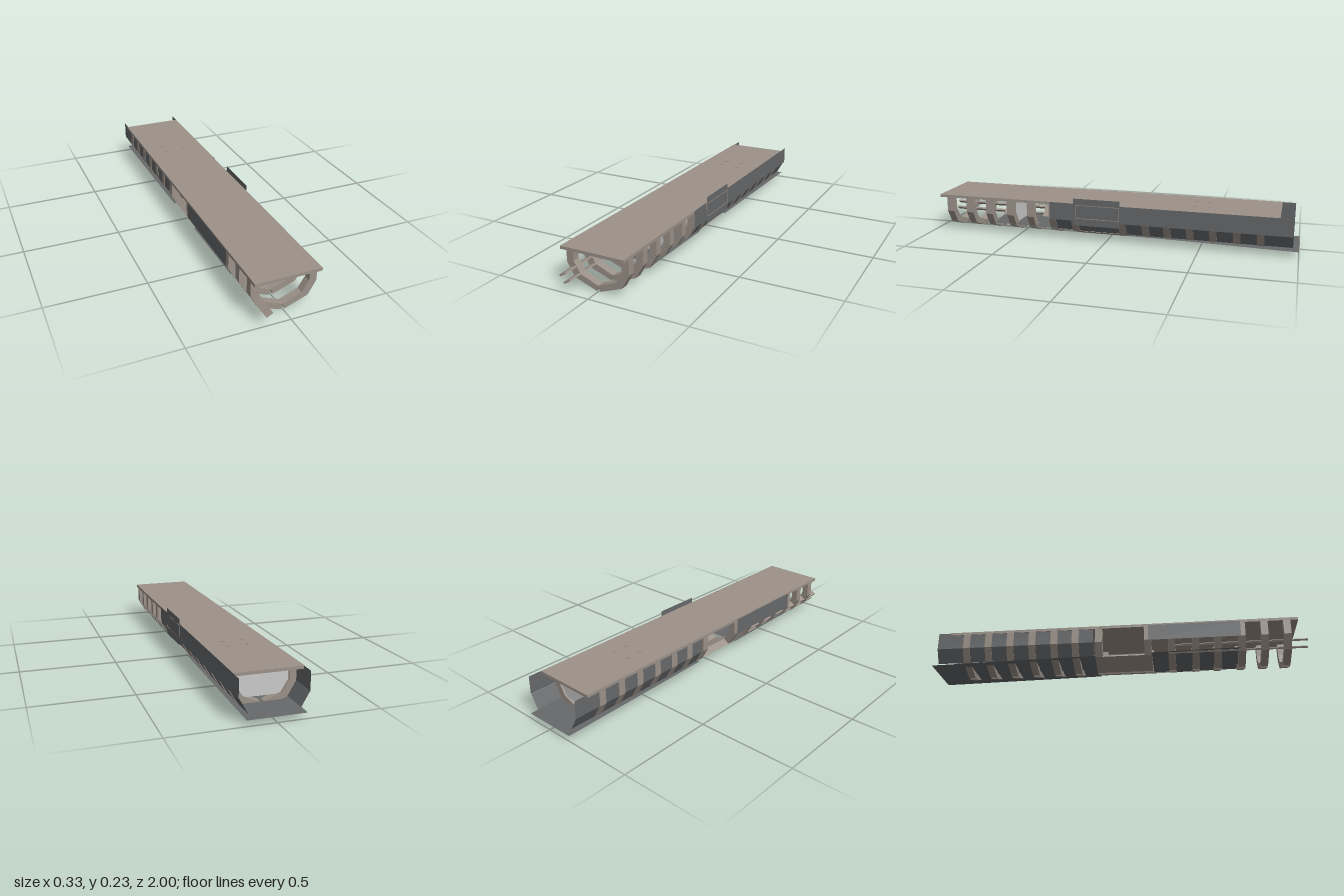
import * as THREE from 'three';

const hullTan = new THREE.MeshStandardMaterial({ color: 0x9c9289 });
hullTan.name = 'warm grey frame';
const skinGrey = new THREE.MeshStandardMaterial({ color: 0x66686a, side: THREE.DoubleSide });
skinGrey.name = 'dark grey skin';
const paleGrey = new THREE.MeshStandardMaterial({ color: 0xcacaca, side: THREE.DoubleSide });
paleGrey.name = 'pale grey bulkhead';

export function createModel() {
  const model = new THREE.Group();
  model.name = 'ribbedHull';

  const add = (name, geometry, material, x = 0, y = 0, z = 0) => {
    const mesh = new THREE.Mesh(geometry, material);
    mesh.name = name;
    mesh.position.set(x, y, z);
    model.add(mesh);
    return mesh;
  };
  const box = (name, w, h, d, x, y, z) => add(name, new THREE.BoxGeometry(w, h, d), hullTan, x, y, z);

  // Extruded cross-section centred on z, mirrored by side = -1
  const section = (name, points, side, depth, z) => {
    const shape = new THREE.Shape(points.map(([x, y]) => new THREE.Vector2(x * side, y)));
    const geometry = new THREE.ExtrudeGeometry(shape, { depth, bevelEnabled: false });
    geometry.translate(0, 0, -depth / 2);
    add(name, geometry, hullTan, 0, 0, z);
  };

  // Thin skin stretched along z between two cross-section points
  const skin = (name, [xa, ya], [xb, yb], z0, z1) => {
    const geometry = new THREE.BufferGeometry();
    geometry.setAttribute('position', new THREE.Float32BufferAttribute(
      [xa, ya, z0, xb, yb, z0, xb, yb, z1, xa, ya, z1], 3));
    geometry.setIndex([0, 1, 2, 0, 2, 3]);
    geometry.computeVertexNormals();
    add(name, geometry, skinGrey);
  };

  // Deck with four small pads
  box('deck', 0.332, 0.015, 1.86, 0, 0.2, 0.03);
  for (const x of [-0.05, 0.05])
    for (const z of [-0.53, -0.455]) box('deckPad', 0.022, 0.006, 0.018, x, 0.207, z);

  // Ribs, each a mirrored pair of half frames
  const halfRib = [[0.165, 0.195], [0.128, 0.195], [0.128, 0.125], [0.093, 0.067],
    [0, 0.03], [0.01, 0.002], [0.125, 0.045], [0.165, 0.115]];
  const ribZ = [0.9, 0.783, 0.665, 0.54, 0.423, 0.297, 0.172, -0.09,
    -0.215, -0.33, -0.45, -0.57, -0.69, -0.81];
  for (const z of ribZ)
    for (const side of [1, -1]) section('rib', halfRib, side, 0.038, z);

  // Wide keel panels under the middle bay
  const keel = [[0.093, 0.067], [0, 0.03], [0.01, 0.002], [0.125, 0.045]];
  for (const side of [1, -1]) section('keelPanel', keel, side, 0.3, 0.04);

  // Two long stringers on the right-hand slope
  for (const [x, y] of [[-0.131, 0.092], [-0.11, 0.06]])
    box('stringer', 0.036, 0.009, 0.7, x, y, 0.65).rotation.z = Math.PI / 6;

  // Left side skin, upper and sloped
  skin('leftUpperSkin', [0.1665, 0.207], [0.1665, 0.113], 0.31, 0.175);
  skin('leftUpperSkin', [0.1665, 0.207], [0.1665, 0.113], -0.08, -0.97);
  skin('leftLowerSkin', [0.162, 0.115], [0.122, 0.045], 0.31, -0.97);

  // Raised side door with a thin outline
  skin('sideDoor', [0.167, 0.235], [0.167, 0.088], 0.175, -0.08);
  for (const y of [0.127, 0.199]) box('doorTrim', 0.002, 0.003, 0.24, 0.167, y, 0.043);
  for (const z of [0.163, -0.077]) box('doorTrim', 0.002, 0.075, 0.003, 0.167, 0.163, z);

  // Right side skin, leaving the middle bay open
  skin('rightUpperSkin', [-0.167, 0.2], [-0.167, 0.113], 0.66, 0.175);
  skin('rightUpperSkin', [-0.162, 0.207], [-0.162, 0.115], -0.12, -0.97);
  skin('rightLowerSkin', [-0.162, 0.115], [-0.122, 0.045], -0.12, -0.97);

  // Belly plate rising gently to the front, split by the middle bay
  const belly = (z0, z1) => {
    const yAt = (z) => 0.03 + 0.03 * (z + 1) / 1.66;
    const geometry = new THREE.PlaneGeometry(0.28, Math.hypot(z1 - z0, yAt(z1) - yAt(z0)));
    geometry.rotateX(-Math.PI / 2 - Math.atan2(0.03, 1.66) * -1);
    const pos = geometry.attributes.position;
    for (let i = 0; i < pos.count; i++) {
      const z = pos.getZ(i) > 0 ? z1 : z0;
      pos.setXYZ(i, pos.getX(i), yAt(z), z);
    }
    geometry.computeVertexNormals();
    add('bellyPlate', geometry, skinGrey);
  };
  belly(0.19, 0.66);
  belly(-1, -0.11);

  // Bulkheads
  const wall = new THREE.Shape([[-0.13, 0.195], [-0.13, 0.125], [-0.095, 0.058], [0.095, 0.058],
    [0.13, 0.125], [0.13, 0.195]].map(([x, y]) => new THREE.Vector2(x, y)));
  for (const z of [0.53, -0.82]) add('bulkhead', new THREE.ShapeGeometry(wall), paleGrey, 0, 0, z);

  return model;
}
